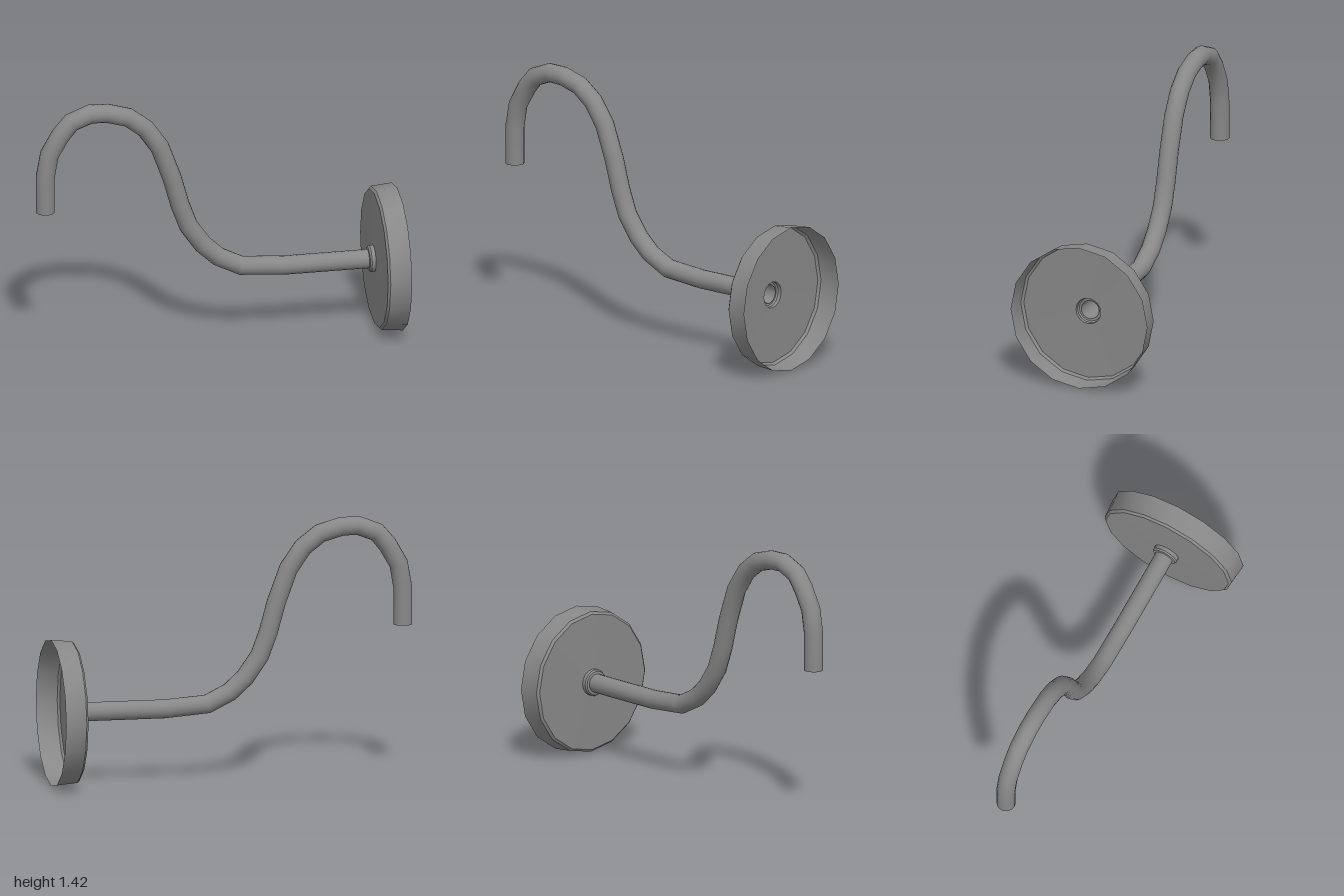
import * as THREE from 'three';
import { toCreasedNormals } from 'three/addons/utils/BufferGeometryUtils.js';

const AXIS_Y = 0.407;

// Curve through straight segments, sampled exactly at its corner points
class CornerPath extends THREE.Curve {
  constructor(points) {
    super();
    this.points = points.map(([x, y]) => new THREE.Vector3(x, y, 0));
  }
  getPoint(t, target = new THREE.Vector3()) {
    const last = this.points.length - 1;
    const i = Math.min(Math.floor(t * last + 1e-6), last - 1);
    return target.lerpVectors(this.points[i], this.points[i + 1], t * last - i);
  }
  getPointAt(u, target) {
    return this.getPoint(u, target);
  }
  getTangentAt(u, target = new THREE.Vector3()) {
    const p = this.points;
    const last = p.length - 1;
    const i = Math.round(u * last);
    const a = Math.max(i, 1), b = Math.min(i, last - 1);
    const before = p[a].clone().sub(p[a - 1]).normalize();
    const after = p[b + 1].clone().sub(p[b]).normalize();
    return target.copy(before).add(after).normalize();
  }
}

export function createModel() {
  const group = new THREE.Group();
  const material = new THREE.MeshStandardMaterial({ color: 0x888888, side: THREE.DoubleSide });

  // Gooseneck pipe, open at both ends
  const path = new CornerPath([
    [-0.948, 0.825], [-0.948, 1.03], [-0.925, 1.16], [-0.865, 1.265],
    [-0.805, 1.337], [-0.70, 1.378], [-0.605, 1.375], [-0.49, 1.342],
    [-0.395, 1.27], [-0.315, 1.155], [-0.247, 0.97], [-0.203, 0.81],
    [-0.155, 0.68], [-0.075, 0.565], [0.01, 0.487], [0.135, 0.425],
    [0.37, AXIS_Y], [0.845, AXIS_Y],
  ]);
  const pipe = new THREE.Mesh(
    new THREE.TubeGeometry(path, path.points.length - 1, 0.052, 16, false), material);
  pipe.name = 'gooseneckPipe';
  group.add(pipe);

  // Parts turned around the wall axis, given as [radius, x]
  const turned = (name, profile) => {
    const points = profile.map(([r, x]) => new THREE.Vector2(r, x));
    const geometry = toCreasedNormals(new THREE.LatheGeometry(points, 16), 0.5);
    const mesh = new THREE.Mesh(geometry, material);
    mesh.name = name;
    mesh.rotation.z = -Math.PI / 2;
    mesh.position.y = AXIS_Y;
    group.add(mesh);
  };

  // Hollow wall plate, open towards the wall
  turned('wallPlate', [[0.073, 0.868], [0.379, 0.872], [0.392, 0.884], [0.402, 1]]);

  // Collar where the pipe enters the plate
  turned('collar', [[0.052, 0.836], [0.066, 0.838], [0.073, 0.847], [0.073, 0.868]]);

  return group;
}
